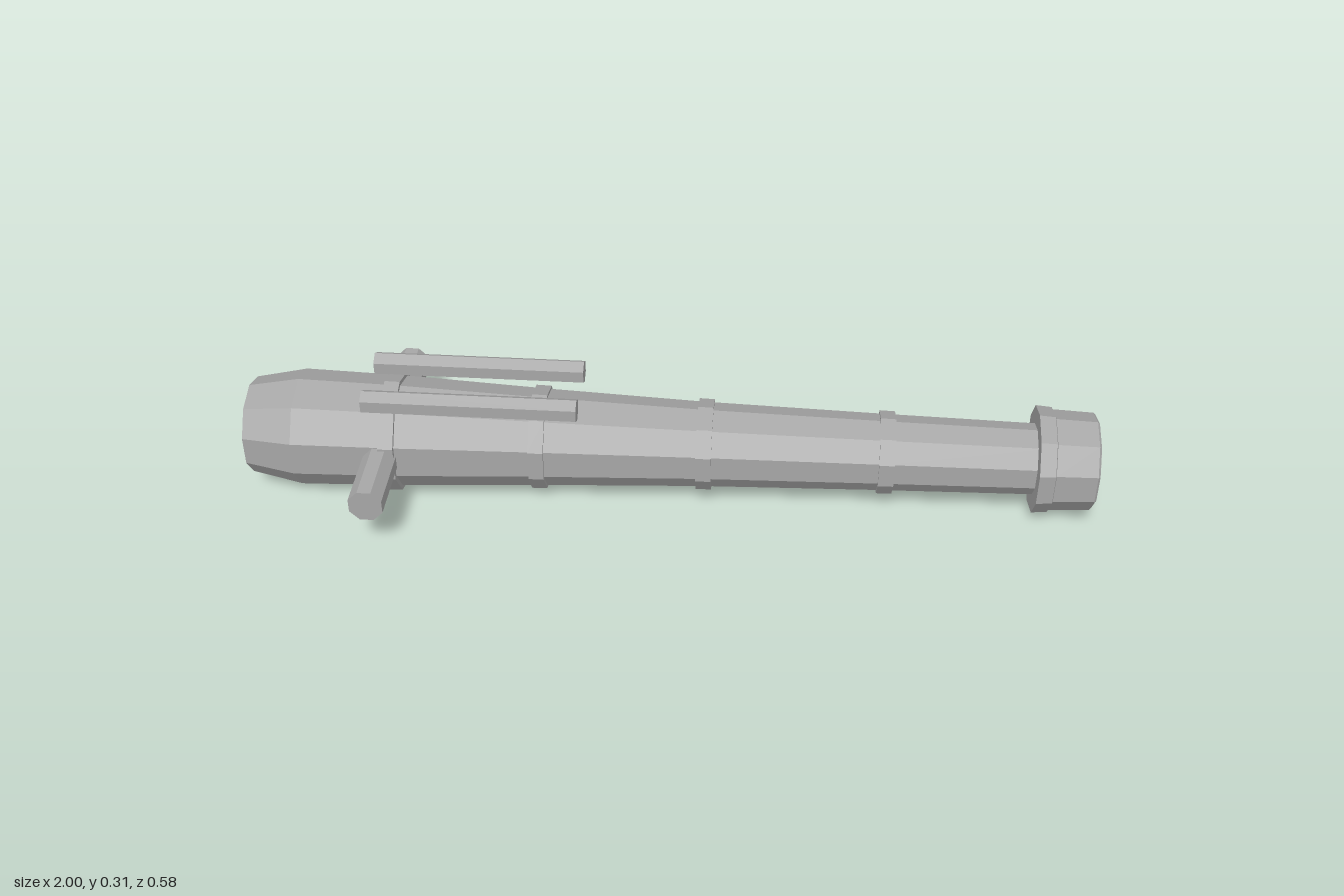
import * as THREE from 'three';

const AXIS_Y = 0.145;

export function createModel() {
  const group = new THREE.Group();
  const iron = new THREE.MeshStandardMaterial({ color: 0xa6a6a6, flatShading: true });
  iron.name = 'grey iron';

  function add(name, geometry, x, y, z) {
    const mesh = new THREE.Mesh(geometry, iron);
    mesh.name = name;
    mesh.position.set(x, y, z);
    group.add(mesh);
    return mesh;
  }

  // Ten-sided turned solid along x, from [x, radius] stations
  function turned(name, stations) {
    const points = stations.map(([x, r]) => new THREE.Vector2(r, x));
    const geometry = new THREE.LatheGeometry(points, 10, Math.PI / 2);
    geometry.rotateZ(-Math.PI / 2);
    return add(name, geometry, 0, AXIS_Y, 0);
  }

  // Barrel with blunt breech, tapering to the muzzle
  turned('barrel', [
    [-1, 0], [-1, 0.114], [-0.88, 0.138], [-0.65, 0.132], [-0.3, 0.115],
    [0.08, 0.1], [0.5, 0.09], [0.87, 0.083],
  ]);

  // Muzzle swell with its collar
  turned('muzzle', [
    [0.853, 0], [0.853, 0.126], [0.89, 0.123], [0.892, 0.118],
    [0.987, 0.114], [0.992, 0.109], [0.992, 0],
  ]);
  turned('muzzlePlug', [[0.98, 0.065], [1, 0.065], [1, 0]]);

  // Reinforcing bands
  const bands = [[-0.655, 0.143], [-0.307, 0.123], [0.083, 0.108], [0.508, 0.098]];
  for (const [x, r] of bands) {
    turned('band', [
      [x - 0.018, r - 0.025], [x - 0.018, r], [x + 0.018, r - 0.001], [x + 0.018, r - 0.025],
    ]);
  }

  for (const side of [-1, 1]) {
    // Octagonal trunnion with flats up
    const trunnion = new THREE.CylinderGeometry(0.0417, 0.0417, 0.19, 8, 1, false, Math.PI / 8);
    trunnion.rotateX(Math.PI / 2);
    add(side > 0 ? 'frontTrunnion' : 'backTrunnion', trunnion, -0.672, AXIS_Y, side * 0.196);

    // Hexagonal lifting bar on top
    const bar = new THREE.CylinderGeometry(0.0285, 0.0285, 0.5, 6, 1, false, Math.PI / 2);
    bar.rotateZ(-Math.PI / 2);
    add(side > 0 ? 'frontLiftingBar' : 'backLiftingBar', bar, -0.46, 0.284, side * 0.078);
  }

  return group;
}
